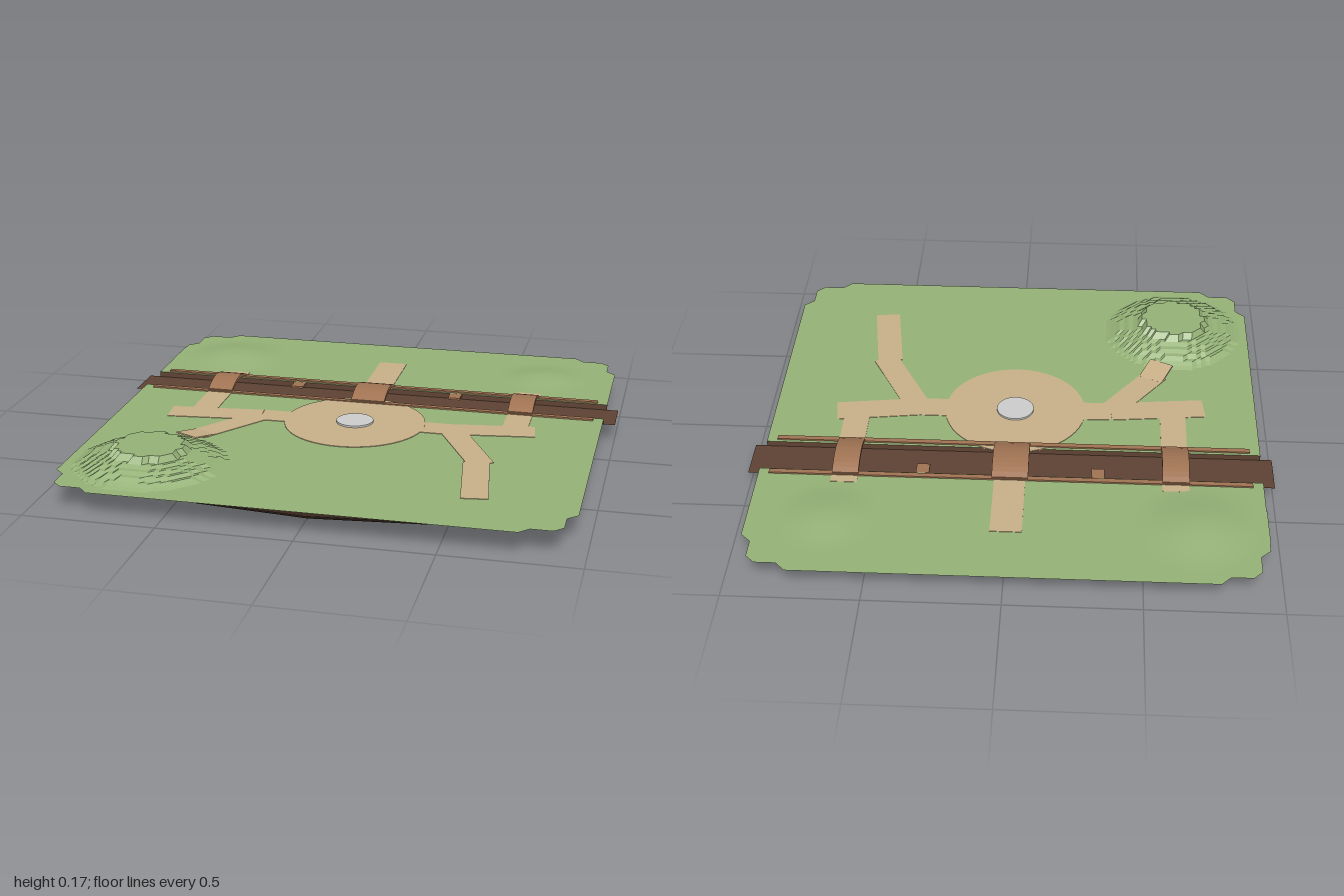
import * as THREE from 'three';

const GROUND = 0.09, RIVER = 0.068;
const BANK_BACK = -0.38, BANK_FRONT = -0.213;

const mat = (color, extra = {}) => Object.assign(new THREE.MeshStandardMaterial({ color }), extra);
const double = { side: THREE.DoubleSide };
const green = mat(0x95b177, double);
const sand = mat(0xc8b088);
const wood = mat(0xa07353);
const mud = mat(0x5e4233, double);
const stone = mat(0xcccccc);

export function createModel() {
  const model = new THREE.Group();
  const add = (name, geometry, material) => {
    const mesh = new THREE.Mesh(geometry, material);
    mesh.name = name;
    model.add(mesh);
    return mesh;
  };
  const box = (name, material, w, h, d, x, y, z) =>
    add(name, new THREE.BoxGeometry(w, h, d).translate(x, y, z), material);

  // Earth base: tapered bands with a rounded-square outline
  const SIDES = 16;
  const outline = (r) => Array.from({ length: SIDES }, (_, i) => {
    const a = (i / SIDES) * Math.PI * 2, c = Math.cos(a), s = Math.sin(a);
    const soft = (v) => Math.sign(v) * Math.pow(Math.abs(v), 2 / 3) * r;
    return [soft(c), soft(s)];
  });
  const band = (name, r0, y0, r1, y1, color) => {
    const low = outline(r0), high = outline(r1), pos = [];
    for (let i = 0; i < SIDES; i++) {
      const j = (i + 1) % SIDES;
      const a = [low[i][0], y0, low[i][1]], b = [low[j][0], y0, low[j][1]];
      const c = [high[j][0], y1, high[j][1]], d = [high[i][0], y1, high[i][1]];
      pos.push(...a, ...d, ...c, ...a, ...c, ...b);
    }
    const g = new THREE.BufferGeometry();
    g.setAttribute('position', new THREE.Float32BufferAttribute(pos, 3));
    g.computeVertexNormals();
    add(name, g, mat(color, { flatShading: true }));
  };
  band('lowerEarth', 0.8, 0, 0.85, 0.03, 0x3e2c24);
  band('middleEarth', 0.85, 0.03, 0.87, 0.058, 0x5c4335);
  band('upperEarth', 0.87, 0.058, 0.885, GROUND, 0x8f7956);
  const capShape = new THREE.Shape(outline(0.8).map(([x, z]) => new THREE.Vector2(x, z)));
  add('earthBottom', new THREE.ShapeGeometry(capShape).rotateX(Math.PI / 2), mat(0x6a5b45));

  // Lawn: two thin sheets with stepped corners, one on each side of the river
  const lawn = (name, zBank, zEdge) => {
    const s = Math.sign(zEdge);
    const corner = [[0.955, 0.77], [0.918, 0.805], [0.918, 0.885], [0.885, 0.918], [0.805, 0.918], [0.77, 0.955]];
    const half = [[0.955, zBank * s], ...corner];
    const pts = [...half, ...half.slice().reverse().map(([x, z]) => [-x, z])];
    const shape = new THREE.Shape(pts.map(([x, z]) => new THREE.Vector2(x, -z * s)));
    const g = new THREE.ShapeGeometry(shape).rotateX(-Math.PI / 2);
    add(name, g.translate(0, GROUND, 0), green);
  };
  lawn('frontLawn', BANK_FRONT, 0.955);
  lawn('backLawn', BANK_BACK, -0.955);

  // Hills: height grids that keep only the raised triangles
  const hill = (name, cx, cz, radius, height, cells, flat) => {
    const size = radius * 2.1;
    const g = new THREE.PlaneGeometry(size, size, cells, cells).rotateX(-Math.PI / 2);
    const p = g.attributes.position;
    for (let i = 0; i < p.count; i++) p.setY(i, height(Math.hypot(p.getX(i), p.getZ(i))));
    const kept = [], idx = g.index.array;
    for (let i = 0; i < idx.length; i += 3) {
      const tri = [idx[i], idx[i + 1], idx[i + 2]];
      if (tri.some((k) => p.getY(k) > 0)) kept.push(...tri);
    }
    g.setIndex(kept);
    g.computeVertexNormals();
    add(name, g.translate(cx, GROUND + 0.0005, cz), flat ? mat(0x95b177, { ...double, flatShading: true }) : green);
  };
  const dome = (r, h) => (d) => (d < r ? h * (0.5 + 0.5 * Math.cos((Math.PI * d) / r)) : 0);
  const steps = [[0.135, 0.075], [0.165, 0.05], [0.2, 0.04], [0.23, 0.03], [0.255, 0.018], [0.275, 0.008]];
  const terrace = (d) => (steps.find(([r]) => d < r) || [0, 0])[1];
  hill('terracedHill', -0.64, 0.63, 0.285, terrace, 32, true);
  hill('backRightHill', -0.7, -0.65, 0.245, dome(0.245, 0.027), 20, false);
  hill('backLeftHill', 0.66, -0.65, 0.2, dome(0.2, 0.02), 18, false);

  // River bed and its two banks
  add('riverBed', new THREE.PlaneGeometry(2, BANK_FRONT - BANK_BACK + 0.005).rotateX(-Math.PI / 2)
    .translate(0, RIVER, (BANK_FRONT + BANK_BACK) / 2), mud);
  for (const [name, z] of [['backBank', BANK_BACK], ['frontBank', BANK_FRONT]]) {
    add(name, new THREE.PlaneGeometry(1.91, GROUND - RIVER).translate(0, (GROUND + RIVER) / 2, z), mud);
  }

  // Kerb rails and small jetties along the river
  for (const z of [-0.4, -0.19]) box('riverRail', wood, 1.83, 0.006, 0.022, 0, GROUND + 0.003, z);
  for (const x of [-0.333, 0.333]) box('jetty', wood, 0.05, 0.008, 0.055, x, GROUND - 0.004, -0.352);

  // Arched footbridges
  const bridge = (cx, width) => {
    const s = new THREE.Shape();
    s.moveTo(-0.405, 0.1);
    s.quadraticCurveTo(-0.297, 0.153, -0.19, 0.1);
    s.lineTo(-0.19, 0.09);
    s.quadraticCurveTo(-0.297, 0.137, -0.405, 0.09);
    const g = new THREE.ExtrudeGeometry(s, { depth: width, bevelEnabled: false, curveSegments: 10 });
    add('footbridge', g.rotateY(-Math.PI / 2).translate(cx + width / 2, 0, 0), wood);
  };
  bridge(-0.626, 0.102);
  bridge(0, 0.138);
  bridge(0.624, 0.1);

  // Sandy paths: thin strips between points
  const path = (width, ...pts) => {
    for (let i = 0; i + 1 < pts.length; i++) {
      const [x0, z0] = pts[i], [x1, z1] = pts[i + 1];
      const g = new THREE.BoxGeometry(width, 0.004, Math.hypot(x1 - x0, z1 - z0));
      g.rotateY(Math.atan2(x1 - x0, z1 - z0)).translate((x0 + x1) / 2, GROUND, (z0 + z1) / 2);
      add('path', g, sand);
    }
  };
  path(0.118, [0, -0.71], [0, -0.395]);
  path(0.118, [0, -0.213], [0, -0.1]);
  for (const x of [-0.625, 0.625]) {
    path(0.1, [x, -0.45], [x, -0.395]);
    path(0.1, [x, -0.213], [x, 0.02]);
  }
  path(0.112, [-0.75, 0.083], [-0.38, 0.045], [-0.2, 0.042]);
  path(0.112, [0.708, -0.002], [0.38, 0.042], [0.2, 0.042]);
  path(0.1, [-0.37, 0.04], [-0.565, 0.31]);
  path(0.1, [0.385, 0.04], [0.555, 0.375]);
  path(0.1, [0.535, 0.36], [0.582, 0.705]);

  // Short ramp leading up the terraced hill
  const ramp = box('hillRamp', sand, 0.1, 0.005, 0.11, 0, 0, 0);
  ramp.rotation.set(-0.17, -0.45, 0, 'YXZ');
  ramp.position.set(-0.565, 0.099, 0.325);

  // Round plaza with a stone basin in the middle
  add('plaza', new THREE.CylinderGeometry(0.278, 0.278, 0.005, 48).translate(0, GROUND, 0.04), sand);
  add('stoneBasin', new THREE.CylinderGeometry(0.073, 0.073, 0.012, 32).translate(0, GROUND + 0.004, 0.04), stone);

  return model;
}
